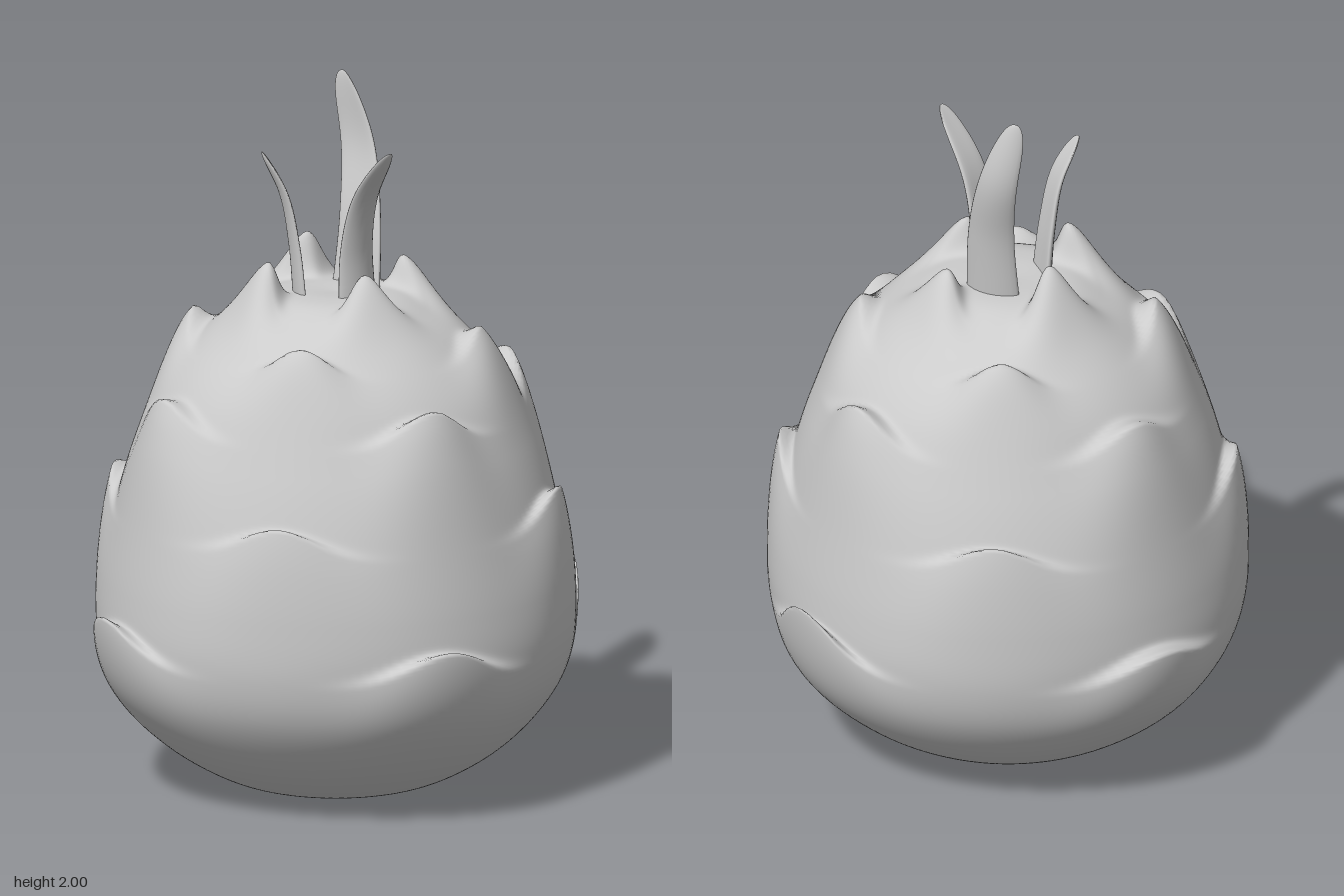
import * as THREE from 'three';
import { mergeVertices } from 'three/addons/utils/BufferGeometryUtils.js';

const material = new THREE.MeshStandardMaterial({ color: 0xcccccc });

// Profile of the plain fruit: radius, height
const PROFILE = [[0, 0], [0.12, 0], [0.22, 0.004], [0.32, 0.03], [0.46, 0.11], [0.565, 0.21], [0.635, 0.32],
  [0.663, 0.44], [0.655, 0.6], [0.615, 0.8], [0.555, 1.0], [0.475, 1.17], [0.375, 1.29],
  [0.27, 1.365], [0.19, 1.405], [0.11, 1.415], [0, 1.41]];

// Rows of scales, four to a row: angle of the first, root height, tip heights, outward push, half width,
// length of the swelling below the lip, softness above it
const ROWS = [
  { angle: 18, root: 0.47, tips: [0.52, 0.58, 0.51, 0.54], out: 0.06, width: 0.18, length: 0.25, lip: 0.025 },
  { angle: -23, root: 0.825, tips: [0.87, 0.88, 0.88, 0.87], out: 0.035, width: 0.17, length: 0.3, lip: 0.022 },
  { angle: 21, root: 1.115, tips: [1.18, 1.18, 1.16, 1.16], out: 0.047, width: 0.14, length: 0.34, lip: 0.025 },
  { angle: -22, root: 1.28, tips: [1.34, 1.33, 1.35, 1.34], out: 0.03, width: 0.12, length: 0.2, lip: 0.025 },
  { angle: 15, root: 1.39, tips: [1.5, 1.49, 1.53, 1.51], out: -0.01, width: 0.09, length: 0.17, lip: 0.045 },
];

function createBody() {
  const curve = new THREE.CatmullRomCurve3(PROFILE.map(([r, y]) => new THREE.Vector3(r, y, 0)), false, 'centripetal');
  const rows = 240, columns = 144;
  const length = curve.getLength();
  const points = curve.getSpacedPoints(rows).map(p => new THREE.Vector2(Math.max(p.x, 0), p.y));
  points[0].x = points[rows].x = 0;

  // Place each scale on the profile by the height of its root
  const scales = ROWS.flatMap(row => {
    const i = points.findIndex(p => p.y >= row.root);
    return row.tips.map((tip, k) => ({
      ...row,
      a: THREE.MathUtils.degToRad(row.angle + 90 * k),
      s: i / rows * length,
      r: points[i].x,
      lift: tip - row.root,
    }));
  });

  const geometry = new THREE.LatheGeometry(points, columns);
  const pos = geometry.attributes.position;
  for (let v = 0; v < pos.count; v++) {
    const i = v % (rows + 1);
    const { x: r, y } = points[i];
    const s = i / rows * length;
    const angle = Math.floor(v / (rows + 1)) % columns / columns * Math.PI * 2;
    let dr = 0, dy = 0;
    for (const c of scales) {
      const d = angle - c.a;
      const u = Math.atan2(Math.sin(d), Math.cos(d)) * c.r;
      // The scale swells gently from below and ends in an arched, overhanging lip
      const edge = c.s - 0.06 * (1 - Math.exp(-((u / c.width) ** 2)));
      const t = s - edge;
      const w = c.width * (1 + 0.4 * Math.min(1, Math.max(0, -t / c.length)));
      const g = Math.exp(-((u / w) ** 2));
      const fall = size => Math.exp(-((t / (t > 0 ? c.lip : size)) ** 2));
      dr += c.out * g * fall(c.length);
      dy += c.lift * g ** 1.6 * fall(c.length * 0.6);
    }
    const radius = r < 0.001 ? 0 : Math.max(r + dr, 0);
    pos.setXYZ(v, radius * Math.sin(angle), y + dy, radius * Math.cos(angle));
  }
  geometry.deleteAttribute('uv');
  geometry.deleteAttribute('normal');
  const merged = mergeVertices(geometry, 1e-5);
  merged.computeVertexNormals();
  const mesh = new THREE.Mesh(merged, material);
  mesh.name = 'fruitBody';
  return mesh;
}

// Blade swept along a path; "facing" is the heading of its broad outer side
function createLeaf(name, path, facing, width, thickness) {
  const curve = new THREE.CatmullRomCurve3(path.map(p => new THREE.Vector3(...p)));
  const a = THREE.MathUtils.degToRad(facing);
  const side = new THREE.Vector3(Math.cos(a), 0, -Math.sin(a));
  const steps = 32, sides = 20, positions = [], index = [];
  for (let i = 0; i <= steps; i++) {
    // Rings crowd towards the rounded tip
    const t = 1 - (1 - i / steps) ** 2;
    const p = curve.getPoint(t);
    const normal = new THREE.Vector3().crossVectors(side, curve.getTangent(t)).normalize();
    const taper = Math.sqrt(1 - t ** 8) * (1 - 0.4 * t);
    const w = width / 2 * taper;
    const h = thickness / 2 * taper;
    for (let j = 0; j < sides; j++) {
      const b = j / sides * Math.PI * 2;
      const cup = 0.18 * w * Math.cos(b) ** 2;
      const q = p.clone().addScaledVector(side, w * Math.cos(b)).addScaledVector(normal, h * Math.sin(b) - cup);
      positions.push(q.x, q.y, q.z);
      if (i < steps) {
        const k = i * sides + j, n = i * sides + (j + 1) % sides;
        index.push(k, k + sides, n, n, k + sides, n + sides);
      }
    }
  }
  const geometry = new THREE.BufferGeometry();
  geometry.setAttribute('position', new THREE.Float32BufferAttribute(positions, 3));
  geometry.setIndex(index);
  geometry.computeVertexNormals();
  const mesh = new THREE.Mesh(geometry, material);
  mesh.name = name;
  return mesh;
}

export function createModel() {
  const group = new THREE.Group();
  group.name = 'dragonFruit';
  group.add(
    createBody(),
    createLeaf('tallBackLeaf', [[0.075, 1.39, -0.07], [0.09, 1.6, -0.1], [0.09, 1.8, -0.16], [0.045, 2.0, -0.19]], 135, 0.165, 0.04),
    createLeaf('frontLeaf', [[0.06, 1.39, 0.06], [0.055, 1.55, 0.075], [0.07, 1.7, 0.12], [0.12, 1.86, 0.23]], 40, 0.15, 0.04),
    createLeaf('sideLeaf', [[-0.105, 1.39, -0.005], [-0.12, 1.55, -0.005], [-0.15, 1.7, 0], [-0.21, 1.82, 0]], -90, 0.12, 0.03),
  );
  return group;
}
